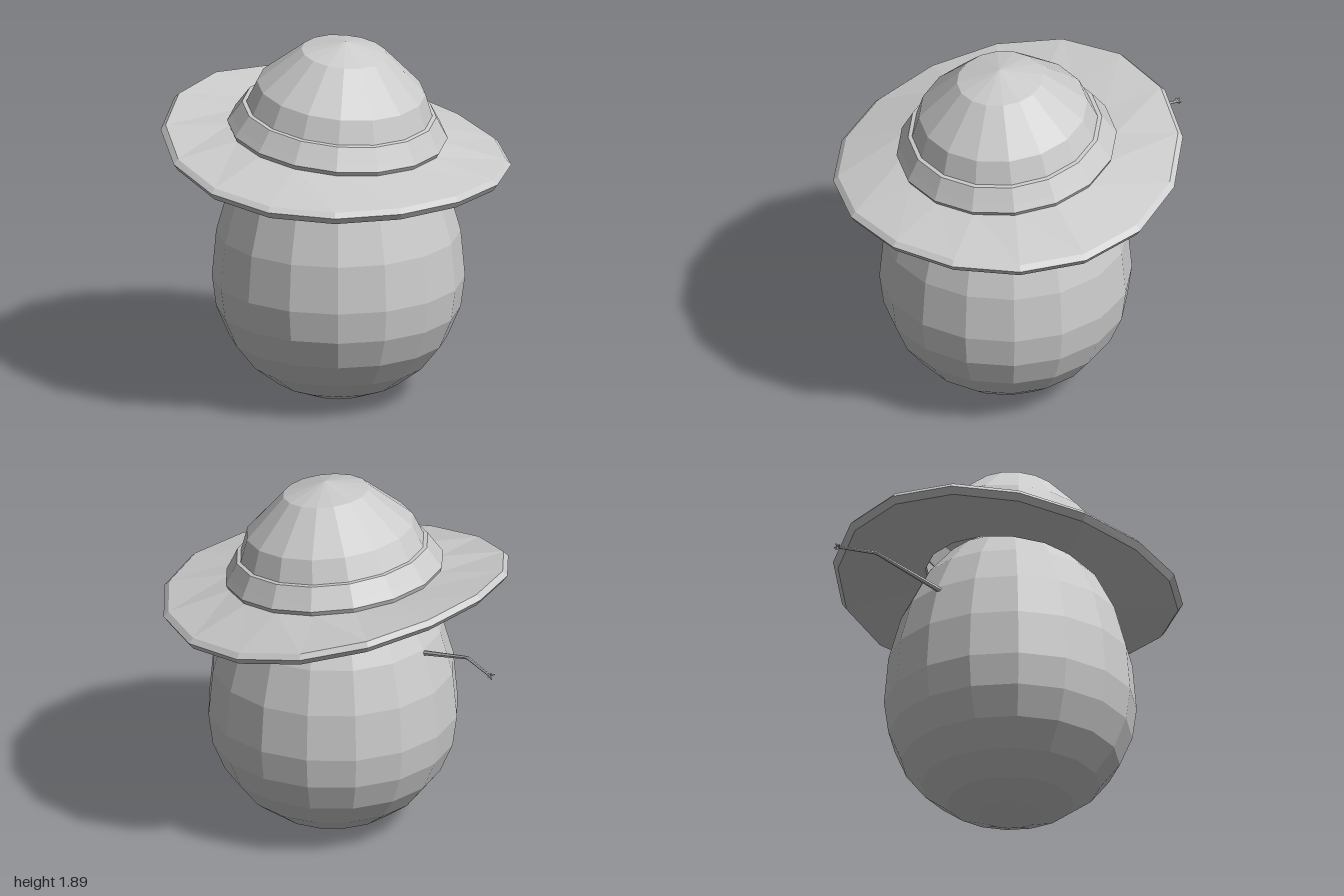
import * as THREE from 'three';

const SIDES = 16;

export function createModel() {
  const model = new THREE.Group();
  const grey = new THREE.MeshStandardMaterial({ color: 0xcccccc, flatShading: true });
  const thin = new THREE.MeshStandardMaterial({ color: 0xcccccc, flatShading: true, side: THREE.DoubleSide });

  const add = (parent, name, geometry, material = grey) => {
    const mesh = new THREE.Mesh(geometry, material);
    mesh.name = name;
    parent.add(mesh);
    return mesh;
  };
  const lathe = (pts) => new THREE.LatheGeometry(pts.map(([r, y]) => new THREE.Vector2(r, y)), SIDES);

  // Egg-shaped body: round below, stretched above its widest ring
  const profile = [];
  for (let i = 0; i <= 12; i++) {
    const a = -Math.PI / 2 + (i * Math.PI) / 12;
    profile.push([Math.max(0, 0.643 * Math.cos(a)), 0.63 + Math.sin(a) * (i < 6 ? 0.63 : 0.94)]);
  }
  add(model, 'body', lathe(profile)).position.z = 0.125;

  // Hat, leaning forward
  const hat = new THREE.Group();
  hat.name = 'hat';
  model.add(hat);

  const crown = new THREE.Group();
  crown.name = 'crown';
  crown.position.set(0, 1.39, 0.115);
  crown.rotation.x = 0.12;
  hat.add(crown);
  add(crown, 'crownDome', lathe([[0.5, 0.0], [0.475, 0.13], [0.43, 0.25], [0.22, 0.447], [0, 0.503]]), thin);
  add(crown, 'hatBand', lathe([[0.47, -0.005], [0.55, -0.005], [0.562, 0.02], [0.54, 0.055], [0.495, 0.13], [0.47, 0.133]]), thin);

  // Wavy brim: planar at the crown, dipping at the sides and front along its rim
  add(hat, 'brim', brimGeometry(), thin);

  // Thin bent tail at the back with a small tuft
  const tail = new THREE.Group();
  tail.name = 'tail';
  model.add(tail);
  const rod = (name, from, to, r0, r1) => {
    const a = new THREE.Vector3(...from);
    const b = new THREE.Vector3(...to);
    const d = b.clone().sub(a);
    const mesh = add(tail, name, new THREE.CylinderGeometry(r1, r0, d.length(), 6));
    mesh.position.copy(a).addScaledVector(d, 0.5);
    mesh.quaternion.setFromUnitVectors(new THREE.Vector3(0, 1, 0), d.normalize());
  };
  const bend = [0.11, 1.203, -0.78];
  const tip = [0.195, 1.193, -0.975];
  rod('tailBase', [-0.01, 1.08, -0.43], bend, 0.014, 0.009);
  rod('tailEnd', bend, tip, 0.009, 0.007);
  for (const [x, y, z] of [[-0.02, 0.004, -0.016], [0.024, 0.003, -0.006], [0.005, 0.018, -0.014], [0.004, -0.018, -0.014]]) {
    rod('tailTuft', tip, [tip[0] + x, tip[1] + y, tip[2] + z], 0.008, 0.003);
  }
  return model;
}

// Closed brim skin lofted through rings of [radius, weight of the rim wave, height offset]
function brimGeometry() {
  const rings = [[0.42, 0, -0.005], [0.54, 0, -0.005], [0.865, 1, 0.025], [0.89, 1, 0], [0.865, 1, -0.035], [0.42, 0, -0.05]];
  const positions = [];
  const index = [];
  rings.forEach(([r, wave, dy], i) => {
    for (let j = 0; j < SIDES; j++) {
      const a = (j * 2 * Math.PI) / SIDES;
      const c = Math.cos(a);
      const inner = 1.39 - 0.12 * r * c;
      const rim = 1.31 - 0.13 * c + 0.045 * Math.cos(2 * a);
      positions.push(r * Math.sin(a), THREE.MathUtils.lerp(inner, rim, wave) + dy, 0.107 + r * c);
      if (i < rings.length - 1) {
        const p = i * SIDES + j;
        const q = i * SIDES + ((j + 1) % SIDES);
        index.push(p, p + SIDES, q + SIDES, p, q + SIDES, q);
      }
    }
  });
  const geometry = new THREE.BufferGeometry();
  geometry.setAttribute('position', new THREE.Float32BufferAttribute(positions, 3));
  geometry.setIndex(index);
  geometry.computeVertexNormals();
  return geometry;
}
